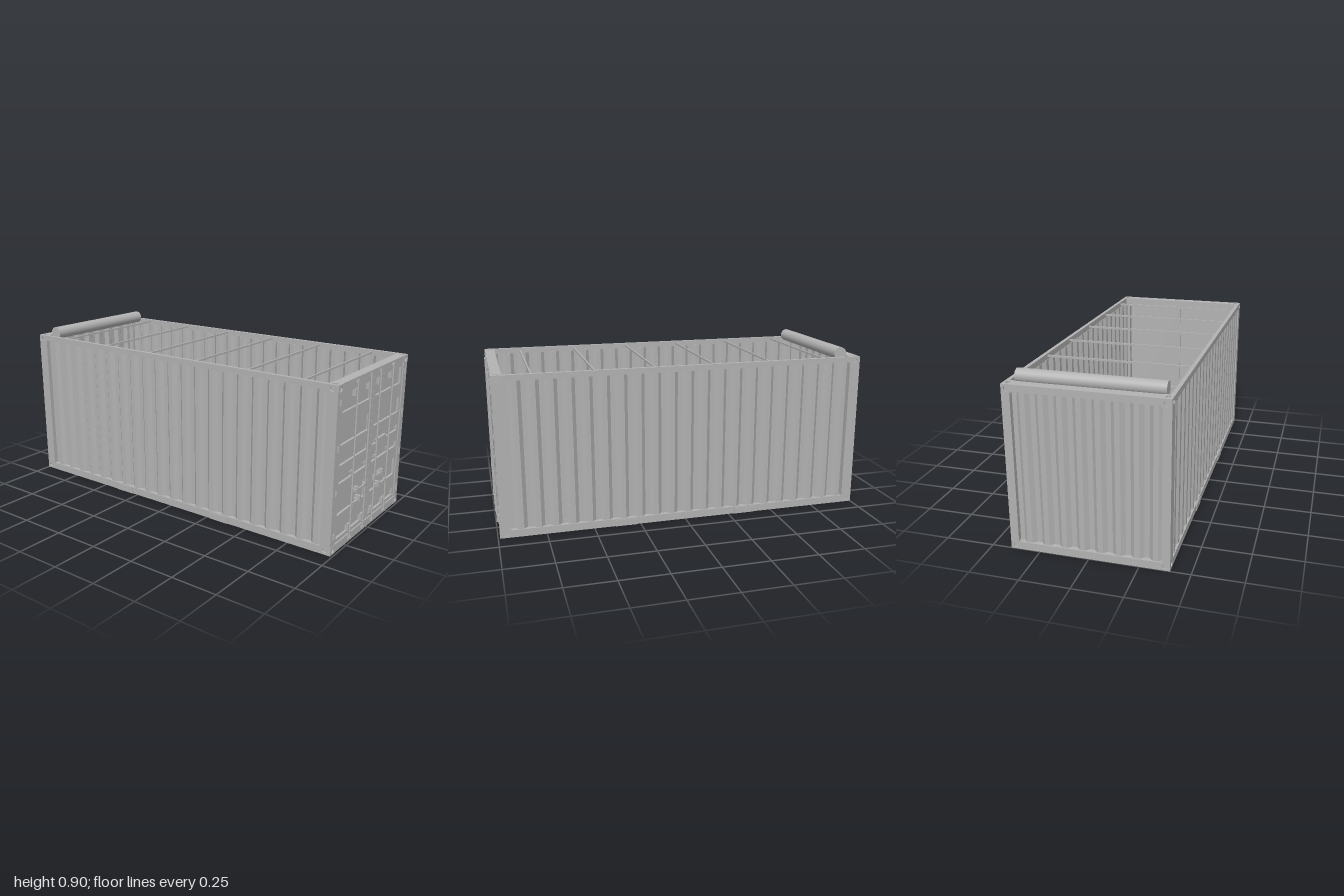
import * as THREE from 'three';

const steel = new THREE.MeshStandardMaterial({ color: 0xb2b2b2 });
steel.name = 'grey steel';

function add(parent, name, geometry, x = 0, y = 0, z = 0) {
  const m = new THREE.Mesh(geometry, steel);
  m.name = name;
  m.position.set(x, y, z);
  parent.add(m);
  return m;
}

// Box given by its minimum and maximum corners
function block(parent, name, x0, x1, y0, y1, z0, z1) {
  const g = new THREE.BoxGeometry(Math.abs(x1 - x0), Math.abs(y1 - y0), Math.abs(z1 - z0));
  return add(parent, name, g, (x0 + x1) / 2, (y0 + y1) / 2, (z0 + z1) / 2);
}

function rectPath(PathType, u0, u1, v0, v1) {
  const p = new PathType();
  p.moveTo(u0, v0); p.lineTo(u1, v0); p.lineTo(u1, v1); p.lineTo(u0, v1); p.closePath();
  return p;
}

// Flat plate with one oval hole, lying in the xy plane
function ovalPlate(w, h, thick, rx, ry) {
  const s = rectPath(THREE.Shape, -w / 2, w / 2, -h / 2, h / 2);
  const hole = new THREE.Path();
  hole.absellipse(0, 0, rx, ry, 0, Math.PI * 2, true);
  s.holes.push(hole);
  return new THREE.ExtrudeGeometry(s, { depth: thick, bevelEnabled: false, curveSegments: 10 });
}

// Corrugated sheet: trapezoid waves along x, standing on y = 0, outside towards +z
function corrugated(length, height, waves) {
  const pitch = length / waves, depth = 0.018, skin = 0.003, line = [];
  for (let i = 0; i < waves; i++) {
    const a = -length / 2 + i * pitch;
    line.push([a, 0], [a + pitch * 0.28, 0], [a + pitch * 0.5, depth], [a + pitch * 0.78, depth]);
  }
  line.push([length / 2, 0]);
  const outline = [
    ...line.map(([x, d]) => new THREE.Vector2(x, -d)),
    ...line.slice().reverse().map(([x, d]) => new THREE.Vector2(x, skin - d)),
  ];
  const g = new THREE.ExtrudeGeometry(new THREE.Shape(outline), { depth: height, bevelEnabled: false });
  return g.rotateX(-Math.PI / 2);
}

const BACK = -1, DOOR = 0.988, TOP = 0.85, HALF = 0.4;

function buildFrame(root) {
  const frame = new THREE.Group();
  frame.name = 'frame';
  root.add(frame);
  for (const s of [-1, 1]) {
    block(frame, 'topSideRail', -0.945, 0.935, 0.82, TOP, s * 0.38, s * HALF);
    block(frame, 'bottomSideRail', -0.945, 0.935, 0, 0.04, s * 0.375, s * HALF);
    block(frame, 'endWallPost', BACK, -0.942, 0.04, 0.81, s * 0.358, s * HALF);
    block(frame, 'doorPost', 0.932, DOOR, 0.04, 0.81, s * 0.355, s * HALF);
    // Reinforcing plates at the fork lift positions
    for (const x of [-0.34, 0.33])
      block(frame, 'forkPlate', x - 0.057, x + 0.057, 0, 0.035, s * HALF, s * 0.404);
  }
  block(frame, 'endTopRail', BACK, -0.945, 0.815, TOP, -0.352, 0.352);
  block(frame, 'endBottomRail', BACK, -0.945, 0, 0.04, -0.352, 0.352);
  block(frame, 'doorHeader', 0.935, DOOR, 0.815, TOP, -0.352, 0.352);
  block(frame, 'doorSill', 0.935, DOOR, 0, 0.042, -0.352, 0.352);

  // Corner castings: a core with a holed plate on each outer side
  for (const sx of [-1, 1]) for (const sy of [-1, 1]) for (const sz of [-1, 1]) {
    const c = new THREE.Group();
    c.name = 'cornerCasting';
    const w = 0.06, h = 0.042, d = 0.05, t = 0.008;
    const ox = sx > 0 ? DOOR + 0.002 : BACK, oy = sy > 0 ? TOP : 0, oz = sz * HALF;
    block(c, 'castingCore', ox - sx * t, ox - sx * w, oy - sy * t, oy - sy * h, oz - sz * t, oz - sz * d);
    const cx = ox - sx * w / 2, cy = oy - sy * h / 2, cz = oz - sz * d / 2;
    add(c, 'castingSide', ovalPlate(w, h, t, 0.015, 0.012), cx, cy, sz > 0 ? oz - t : oz);
    add(c, 'castingEnd', ovalPlate(d, h, t, 0.012, 0.015).rotateY(Math.PI / 2), sx > 0 ? ox - t : ox, cy, cz);
    add(c, 'castingCap', ovalPlate(w, d, t, 0.016, 0.011).rotateX(-Math.PI / 2), cx, sy > 0 ? oy - t : oy, cz);
    frame.add(c);
  }
}

function buildWalls(root) {
  const side = corrugated(1.88, 0.784, 21), end = corrugated(0.72, 0.78, 8);
  add(root, 'leftSideWall', side, -0.005, 0.038, 0.377);
  add(root, 'rightSideWall', side, -0.005, 0.038, -0.377).rotation.y = Math.PI;
  add(root, 'endWall', end, -0.975, 0.038, 0).rotation.y = -Math.PI / 2;
}

function buildFloor(root) {
  block(root, 'floor', -0.96, 0.96, 0.05, 0.06, -0.378, 0.378);
  for (let i = 0; i < 11; i++) {
    const x = -0.83 + i * 0.165;
    block(root, 'crossMember', x - 0.011, x + 0.011, 0.005, 0.05, -0.376, 0.376);
  }
}

function buildRoof(root) {
  // Removable roof bows and the rolled cover
  for (let i = 0; i < 6; i++) {
    const x = -0.805 + i * 0.319;
    block(root, 'roofBow', x - 0.004, x + 0.004, 0.832, 0.842, -0.382, 0.382);
  }
  const roll = new THREE.CylinderGeometry(0.035, 0.035, 0.72, 32).rotateX(Math.PI / 2);
  add(root, 'rolledCover', roll, -0.9, 0.864, 0);
}

function buildDoor(root, s) {
  const door = new THREE.Group();
  door.name = s > 0 ? 'leftDoor' : 'rightDoor';
  root.add(door);
  const face = 0.983, sunk = 0.971;
  const rows = [[0.063, 0.103], [0.187, 0.283], [0.35, 0.384], [0.443, 0.475], [0.545, 0.63], [0.705, 0.795]];

  // Door leaf with sunken panels
  const span = (a, b) => [Math.min(-s * a, -s * b), Math.max(-s * a, -s * b)];
  const leaf = rectPath(THREE.Shape, ...span(0.001, 0.353), 0.044, 0.812);
  for (const [a, b] of rows) leaf.holes.push(rectPath(THREE.Path, ...span(0.026, 0.337), a, b));
  const g = new THREE.ExtrudeGeometry(leaf, { depth: face - sunk, bevelEnabled: false });
  add(door, 'doorLeaf', g.rotateY(Math.PI / 2), sunk, 0, 0);
  block(door, 'doorBacking', 0.962, sunk, 0.044, 0.812, s * 0.001, s * 0.353);
  for (const [a, b] of rows) block(door, 'panelLip', sunk, 0.977, a, b, s * 0.026, s * 0.036);
  if (s < 0) block(door, 'lockPlate', sunk, face + 0.001, 0.378, 0.46, -0.08, -0.194);

  // Locking rods with cams, guides and handles
  for (const [z, y, dir] of [[0.056, 0.26, 1], [0.206, 0.2, -1]]) {
    const rod = new THREE.CylinderGeometry(0.005, 0.005, 0.81, 12);
    add(door, 'lockRod', rod, 0.993, 0.428, s * z);
    for (const e of [0.022, 0.83]) {
      block(door, 'rodCam', 0.982, 0.999, e - 0.006, e + 0.006, s * (z - 0.009), s * (z + 0.009));
      block(door, 'camKeeper', 0.982, 0.992, e - 0.002, e + 0.012, s * (z - 0.004), s * (z + 0.01));
    }
    for (const [a, b] of [[0.063, 0.1], [0.375, 0.385], [0.76, 0.795]])
      block(door, 'rodGuide', sunk, 0.99, a, b, s * (z - 0.013), s * (z + 0.013));
    block(door, 'handleHub', 0.984, 0.999, y - 0.013, y + 0.013, s * (z - 0.006), s * (z + dir * 0.014));
    block(door, 'handle', 0.99, 0.997, y - 0.005, y + 0.005, s * z, s * (z + dir * 0.108));
    const c = z + dir * 0.092;
    block(door, 'handleCatch', sunk, 0.999, y - 0.012, y + 0.02, s * (c - 0.007), s * (c + 0.007));
    block(door, 'catchBase', sunk, 0.988, y - 0.007, y + 0.007, s * (c - 0.018), s * (c + 0.016));
  }
  // Hinges on the posts
  for (const y of [0.093, 0.315, 0.54, 0.763]) {
    block(door, 'hinge', 0.984, 0.991, y - 0.015, y + 0.015, s * 0.368, s * 0.379);
    add(door, 'hingePin', new THREE.CylinderGeometry(0.004, 0.004, 0.024, 8), 0.991, y, s * 0.3735);
  }
}

export function createModel() {
  const root = new THREE.Group();
  root.name = 'openTopContainer';
  buildFrame(root);
  buildWalls(root);
  buildFloor(root);
  buildRoof(root);
  for (const s of [1, -1]) buildDoor(root, s);
  return root;
}
